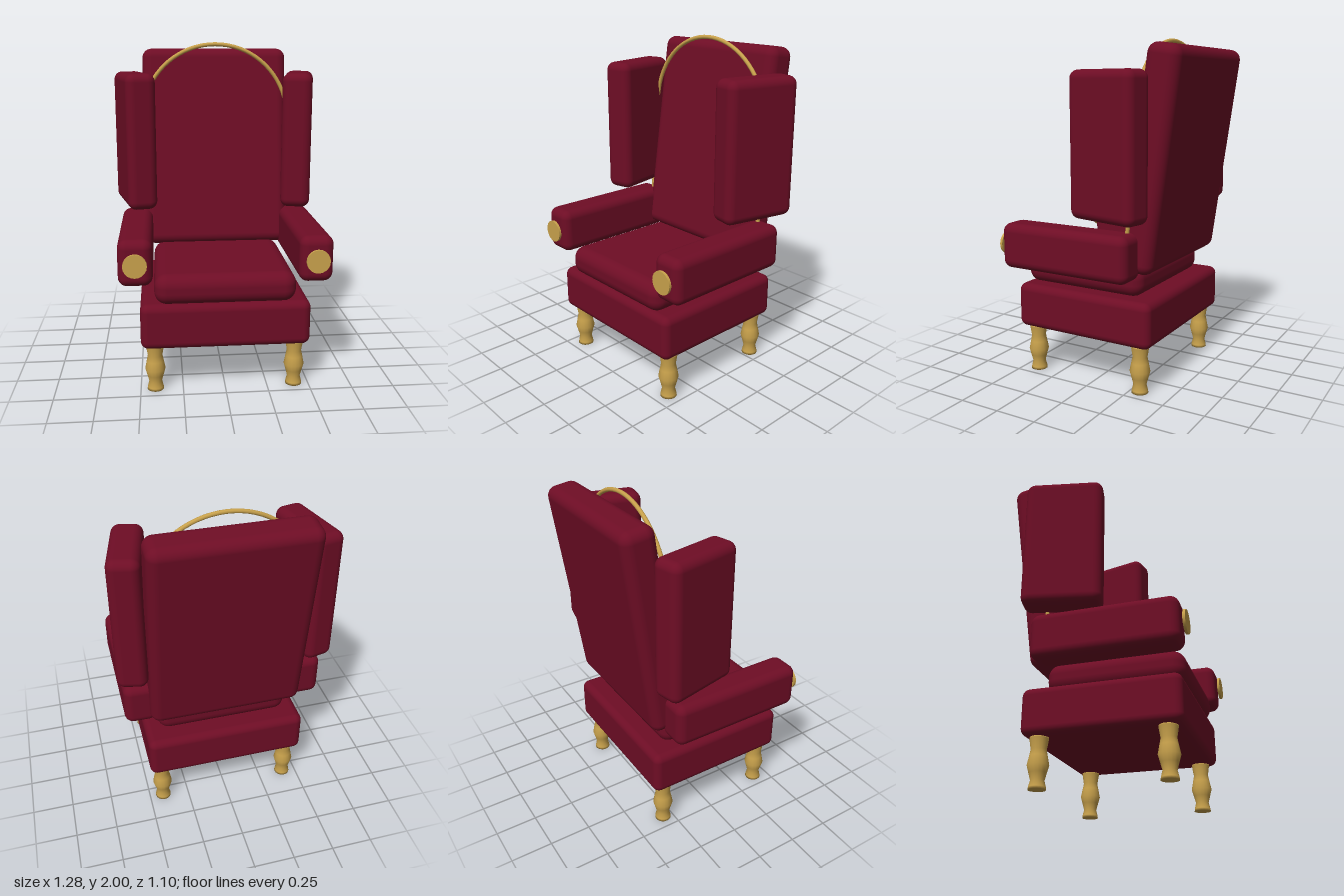
import * as THREE from 'three';
import { RoundedBoxGeometry } from 'three/addons/geometries/RoundedBoxGeometry.js';

export function createModel() {
  const chair = new THREE.Group();
  chair.name = 'wingArmchair';

  const upholstery = new THREE.MeshStandardMaterial({ color: 0x6e0d25 });
  upholstery.name = 'burgundy upholstery';
  const gold = new THREE.MeshStandardMaterial({ color: 0xc9a24c });
  gold.name = 'gold trim';

  const add = (name, geometry, material, x, y, z) => {
    const mesh = new THREE.Mesh(geometry, material);
    mesh.name = name;
    mesh.position.set(x, y, z);
    chair.add(mesh);
    return mesh;
  };
  // Softly rounded upholstered block
  const pad = (name, size, radius, pos) =>
    add(name, new RoundedBoxGeometry(...size, 4, radius), upholstery, ...pos);

  // Seat and back
  pad('seatBase', [0.985, 0.27, 0.9], 0.045, [0, 0.415, 0.048]);
  pad('seatCushion', [0.82, 0.18, 0.795], 0.075, [0, 0.63, 0.1]);
  pad('backrest', [0.925, 1.265, 0.2], 0.06, [0, 1.328, -0.37]).rotation.x = -0.14;

  // Turned leg profile, closed at both ends
  const legProfile = [
    [0, 0], [0.049, 0], [0.047, 0.015], [0.038, 0.05], [0.049, 0.09], [0.06, 0.13],
    [0.05, 0.18], [0.043, 0.215], [0.053, 0.275], [0.053, 0.282], [0, 0.282],
  ].map(([r, y]) => new THREE.Vector2(r, y));
  const legGeometry = new THREE.LatheGeometry(legProfile, 16);
  const discGeometry = new THREE.CylinderGeometry(0.068, 0.068, 0.015, 20);

  for (const [side, s] of [['left', 1], ['right', -1]]) {
    // Arm with a gold disc in front of it
    pad(side + 'Arm', [0.195, 0.27, 0.84], 0.052, [s * 0.512, 0.805, 0.1]);
    add(side + 'ArmDisc', discGeometry, gold, s * 0.512, 0.805, 0.542).rotation.x = Math.PI / 2;

    // Wing, turned inwards at the front
    pad(side + 'Wing', [0.18, 0.82, 0.462], 0.05, [s * 0.512, 1.41, -0.165]).rotation.y = -s * 0.22;

    add(side + 'FrontLeg', legGeometry, gold, s * 0.413, 0, 0.405);
    add(side + 'BackLeg', legGeometry, gold, s * 0.413, 0, -0.31);
  }

  // Gold arch: two posts joined by a half circle
  const R = 0.468;
  const centreY = 1.52;
  const points = [new THREE.Vector3(-0.478, 0.82, -0.252), new THREE.Vector3(-0.476, 1.15, -0.282)];
  for (let i = 0; i <= 12; i++) {
    const a = Math.PI * (1 - i / 12);
    points.push(new THREE.Vector3(R * Math.cos(a), centreY + R * Math.sin(a), -0.302));
  }
  points.push(new THREE.Vector3(0.476, 1.15, -0.282), new THREE.Vector3(0.478, 0.82, -0.252));
  const arch = new THREE.TubeGeometry(new THREE.CatmullRomCurve3(points), 72, 0.0125, 8);
  add('goldArch', arch, gold, 0, 0, 0);

  return chair;
}
